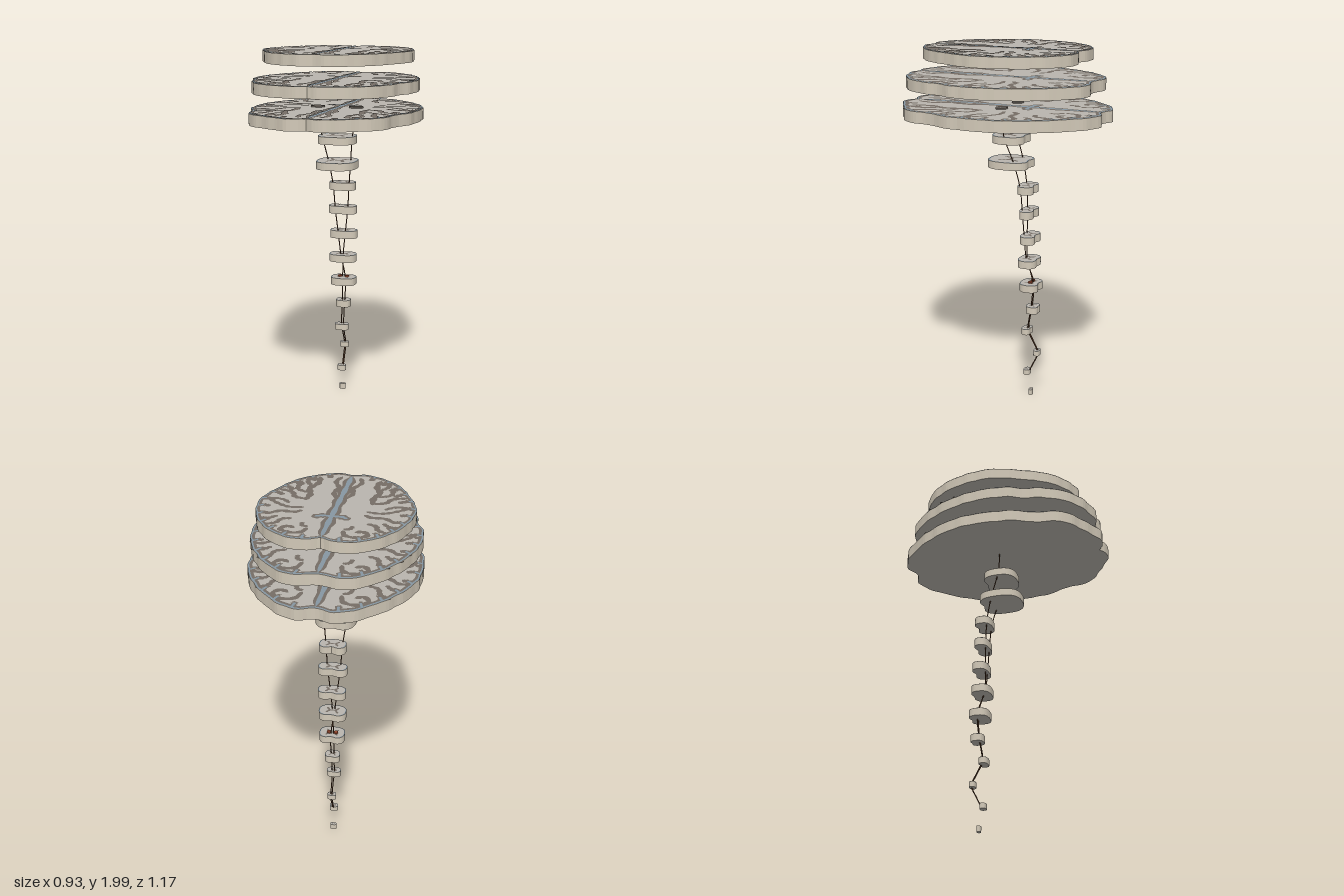
import * as THREE from 'three';

const mat = (color, side = THREE.FrontSide) => new THREE.MeshStandardMaterial({ color, side });
const RIM = mat(0xd2c9b8), WHITE = mat(0xb9b5ae), GREY = mat(0x756d65, THREE.DoubleSide),
  BLUE = mat(0x8797a2, THREE.DoubleSide), WIRE = mat(0x5a3d28), RED = mat(0x9a4a30);

const vec = (x, z) => new THREE.Vector2(x, z);

// Closed smooth outline from a half profile [x, z], mirrored, with fine scallops
function outline(half, scallop, n = 160) {
  const inner = half.slice(1, -1).reverse().map(([x, z]) => [-x, z]);
  const pts = [...half, ...inner].map(([x, z]) => new THREE.Vector3(x, 0, z));
  const out = new THREE.CatmullRomCurve3(pts, true, 'centripetal').getSpacedPoints(n).slice(0, n);
  return out.map((p) => {
    const a = Math.atan2(Math.abs(p.x), p.z);
    const s = 1 + scallop * (Math.sin(a * 21) + 0.6 * Math.sin(a * 34 + 1));
    return vec(p.x * s, p.z * s);
  });
}

const shapeOf = (pts) => new THREE.Shape(pts.map((p) => vec(p.x, -p.y)));

function addMesh(group, name, geometry, material) {
  const mesh = new THREE.Mesh(geometry, material);
  mesh.name = name;
  group.add(mesh);
  return mesh;
}

// Slab between y0 and y1
function slab(group, name, pts, y0, y1) {
  const g = new THREE.ExtrudeGeometry(shapeOf(pts), { depth: y1 - y0, bevelEnabled: false });
  g.rotateX(-Math.PI / 2).translate(0, y0, 0);
  addMesh(group, name, g, [WHITE, RIM]);
}

// Flat band following an outline, between two scales about (0, cz)
function band(group, name, pts, outer, inner, y, material, cz = 0) {
  const sc = (k) => pts.map((p) => vec(p.x * k, cz + (p.y - cz) * k));
  const shape = shapeOf(sc(outer));
  shape.holes.push(new THREE.Path(sc(inner).map((p) => vec(p.x, -p.y))));
  addMesh(group, name, new THREE.ShapeGeometry(shape).rotateX(-Math.PI / 2).translate(0, y, 0), material);
}

// Flat ribbon with rounded, tapering ends along [x, z] points
function ribbon(group, name, path, width, y, material) {
  const curve = new THREE.CatmullRomCurve3(path.map(([x, z]) => new THREE.Vector3(x, y, z)));
  const n = 28, pos = [], index = [];
  for (let i = 0; i <= n; i++) {
    const t = i / n, p = curve.getPoint(t), d = curve.getTangent(t);
    const w = width / 2 * Math.min(1, Math.sqrt(Math.min(t, 1 - t) * 9)) * (1 + 0.2 * Math.sin(i * 1.3));
    pos.push(p.x + d.z * w, y, p.z - d.x * w, p.x - d.z * w, y, p.z + d.x * w);
    if (i < n) index.push(2 * i, 2 * i + 1, 2 * i + 2, 2 * i + 2, 2 * i + 1, 2 * i + 3);
  }
  const g = new THREE.BufferGeometry();
  g.setAttribute('position', new THREE.Float32BufferAttribute(pos, 3));
  g.setAttribute('normal', new THREE.Float32BufferAttribute(pos.map((_, i) => (i % 3 === 1 ? 1 : 0)), 3));
  g.setIndex(index);
  addMesh(group, name, g, material);
}

// Half outlines of the large slices, from the back notch to the front notch
const TOP = [[0, -0.415], [0.05, -0.44], [0.12, -0.45], [0.2, -0.425], [0.27, -0.375], [0.34, -0.29], [0.385, -0.19],
  [0.41, -0.08], [0.413, 0.01], [0.385, 0.11], [0.345, 0.2], [0.3, 0.29], [0.23, 0.37], [0.15, 0.42], [0.07, 0.45], [0, 0.43]];
const MIDDLE = [[0, -0.5], [0.05, -0.51], [0.12, -0.53], [0.2, -0.5], [0.28, -0.43], [0.36, -0.32], [0.415, -0.2],
  [0.447, -0.07], [0.45, 0.03], [0.435, 0.13], [0.4, 0.2], [0.38, 0.3], [0.31, 0.42], [0.24, 0.48], [0.15, 0.52], [0.06, 0.545], [0, 0.525]];
const LOWER = [[0, -0.555], [0.03, -0.56], [0.09, -0.585], [0.18, -0.55], [0.28, -0.46], [0.36, -0.36], [0.42, -0.25],
  [0.452, -0.15], [0.462, -0.06], [0.457, 0.05], [0.44, 0.16], [0.405, 0.23], [0.383, 0.29], [0.38, 0.36], [0.32, 0.45],
  [0.26, 0.49], [0.19, 0.53], [0.1, 0.58], [0.03, 0.565], [0, 0.545]];

// Folds of one half of a slice: [width, path]
const FOLDS = [
  [0.03, [[0.16, -0.1], [0.2, -0.13], [0.27, -0.13], [0.33, -0.17], [0.39, -0.16]]],
  [0.026, [[0.16, -0.06], [0.24, -0.07], [0.3, -0.04], [0.37, 0.02]]],
  [0.026, [[0.25, -0.02], [0.29, 0.02], [0.35, 0.03], [0.4, 0]]],
  [0.035, [[0.18, 0.03], [0.17, 0.12], [0.19, 0.2], [0.16, 0.28], [0.17, 0.38]]],
  [0.03, [[0.18, 0.05], [0.24, 0.07], [0.27, 0.13], [0.35, 0.16]]],
  [0.028, [[0.19, 0.14], [0.25, 0.18], [0.26, 0.25], [0.29, 0.28]]],
  [0.028, [[0.19, 0.24], [0.22, 0.29], [0.22, 0.36]]],
  [0.03, [[0.09, -0.31], [0.11, -0.37], [0.17, -0.385], [0.22, -0.35], [0.19, -0.31], [0.15, -0.33]]],
  [0.028, [[0.31, -0.31], [0.26, -0.28], [0.24, -0.23], [0.19, -0.21]]],
  [0.026, [[0.36, -0.23], [0.31, -0.23], [0.27, -0.19]]],
  [0.026, [[0.09, -0.3], [0.12, -0.29], [0.13, -0.25]]],
  [0.028, [[0.02, 0.08], [0.05, 0.16], [0.04, 0.24], [0.07, 0.32], [0.05, 0.4]]],
];

function brainSlice(name, half, y0, y1) {
  const g = new THREE.Group();
  g.name = name;
  const pts = outline(half, 0.004);
  slab(g, 'sliceBody', pts, y0, y1 - 0.002);
  const yG = y1 - 0.001, yB = y1;
  band(g, 'cortexBand', pts, 0.995, 0.945, yG, GREY);
  band(g, 'fluidBand', pts, 0.998, 0.978, yB, BLUE);
  const back = half[0][1], front = half[half.length - 1][1];
  ribbon(g, 'midlineCortex', [[0, back + 0.01], [0, 0], [0, front - 0.01]], 0.065, yG, GREY);
  ribbon(g, 'midlineFissure', [[0, back + 0.01], [0, 0], [0, front - 0.01]], 0.026, yB, BLUE);
  ribbon(g, 'ventricleWall', [[-0.1, -0.18], [-0.05, -0.15], [0, -0.145], [0.05, -0.15], [0.1, -0.18]], 0.055, yG, GREY);
  ribbon(g, 'ventricle', [[-0.085, -0.17], [-0.05, -0.15], [0, -0.15], [0.05, -0.15], [0.085, -0.17]], 0.022, yB, BLUE);
  const kx = Math.max(...half.map((p) => p[0])) / 0.413, kz = front / 0.43;
  for (const s of [1, -1]) {
    for (const [w, path] of FOLDS) ribbon(g, 'fold', path.map(([x, z]) => [s * x * kx, z * kz]), w, yG, GREY);
    // Short folds running in from the rim
    for (let i = 6; i < 78; i += 6) {
      const p = pts[i], k = 0.84 - 0.05 * Math.sin(i * 2);
      const path = [[0.985, 0], [0.92, 0.012], [k, -0.008]].map(([f, o]) => [s * p.x * f, p.y * f + o]);
      ribbon(g, 'rimFold', path, 0.034, yG, GREY);
      ribbon(g, 'rimFluid', path.slice(0, 2), 0.014, yB, BLUE);
    }
  }
  return g;
}

// Stem and cord slices: [y centre, half height, x centre, half width, back z, front z, waist]
const CORD = [
  [1.507, 0.022, -0.004, 0.106, -0.132, 0.062, 0.1], [1.368, 0.022, -0.004, 0.112, -0.157, 0.09, 0.1],
  [1.23, 0.023, -0.002, 0.074, -0.185, -0.086, 0.22], [1.092, 0.023, -0.003, 0.08, -0.185, -0.1, 0.22],
  [0.948, 0.023, 0, 0.078, -0.197, -0.106, 0.22], [0.81, 0.022, -0.002, 0.077, -0.202, -0.09, 0.12],
  [0.67, 0.022, -0.002, 0.072, -0.215, -0.1, 0.15], [0.532, 0.021, -0.006, 0.042, -0.205, -0.131, 0.1],
  [0.398, 0.018, -0.006, 0.04, -0.158, -0.106, 0.1], [0.272, 0.016, -0.006, 0.025, -0.212, -0.176, 0.05],
  [0.147, 0.016, -0.006, 0.024, -0.153, -0.116, 0], [0.024, 0.017, -0.007, 0.018, -0.168, -0.145, 0],
];

function cordSlice([y, h, cx, hw, z0, z1, waist], i) {
  const g = new THREE.Group();
  g.name = 'cordSlice' + (i + 1);
  const cz = (z0 + z1) / 2, hz = (z1 - z0) / 2, pts = [];
  for (let k = 0; k < 48; k++) {
    const a = k / 48 * Math.PI * 2, c = Math.cos(a), s = Math.sin(a);
    const x = Math.sign(c) * Math.abs(c) ** 0.75, z = Math.sign(s) * Math.abs(s) ** 0.75;
    const dip = s < 0 ? 1 - 1.6 * waist * Math.exp(-x * x * 9) : 1;
    pts.push(vec(x * hw, z * hz * dip));
  }
  slab(g, 'cordBody', pts, y - h, y + h - 0.002);
  band(g, 'cordFluidBand', pts, 0.99, 0.92, y + h - 0.001, BLUE);
  // Dark core, two horns joined by a bridge
  for (const s of [1, -1])
    ribbon(g, 'cordHorn', [[s * hw * 0.45, -hz * 0.5], [s * hw * 0.25, 0], [s * hw * 0.45, hz * 0.5]], hw * 0.16, y + h - 0.001, GREY);
  ribbon(g, 'cordBridge', [[-hw * 0.28, 0], [0, 0], [hw * 0.28, 0]], hz * 0.16, y + h - 0.001, GREY);
  g.position.set(cx, 0, cz);
  return g;
}

// Nerve path: [spread from the middle, y, z]
const NERVE = [[0.108, 1.68, -0.02], [0.1, 1.6, -0.02], [0.085, 1.51, -0.032], [0.065, 1.38, -0.075], [0.047, 1.24, -0.107],
  [0.036, 1.09, -0.117], [0.02, 0.95, -0.122], [0.006, 0.82, -0.13], [-0.006, 0.71, -0.165], [-0.01, 0.65, -0.17],
  [-0.007, 0.54, -0.16], [-0.006, 0.4, -0.142], [-0.004, 0.34, -0.17], [-0.004, 0.27, -0.2], [-0.003, 0.2, -0.172], [-0.003, 0.14, -0.142]];

export function createModel() {
  const model = new THREE.Group();
  model.name = 'slicedBrainAndCord';
  model.add(brainSlice('topSlice', TOP, 1.938, 2), brainSlice('middleSlice', MIDDLE, 1.781, 1.845),
    brainSlice('lowerSlice', LOWER, 1.62, 1.685));
  CORD.forEach((c, i) => model.add(cordSlice(c, i)));
  for (const s of [1, -1]) {
    const curve = new THREE.CatmullRomCurve3(NERVE.map(([x, y, z]) => new THREE.Vector3(s * x - 0.004, y, z)));
    addMesh(model, s > 0 ? 'leftNerve' : 'rightNerve', new THREE.TubeGeometry(curve, 90, 0.003, 6), WIRE);
    // Patch where the nerve starts, and small knots where it crosses over
    const patch = addMesh(model, 'nervePatch', new THREE.CylinderGeometry(0.04, 0.04, 0.008, 20), GREY);
    patch.position.set(s * 0.11 - 0.004, 1.688, -0.025);
    patch.scale.z = 0.8;
    const knot = addMesh(model, 'nerveKnot', new THREE.CylinderGeometry(0.012, 0.012, 0.008, 12), RED);
    knot.position.set(s * 0.02 - 0.004, 0.694, -0.16);
  }
  return model;
}
